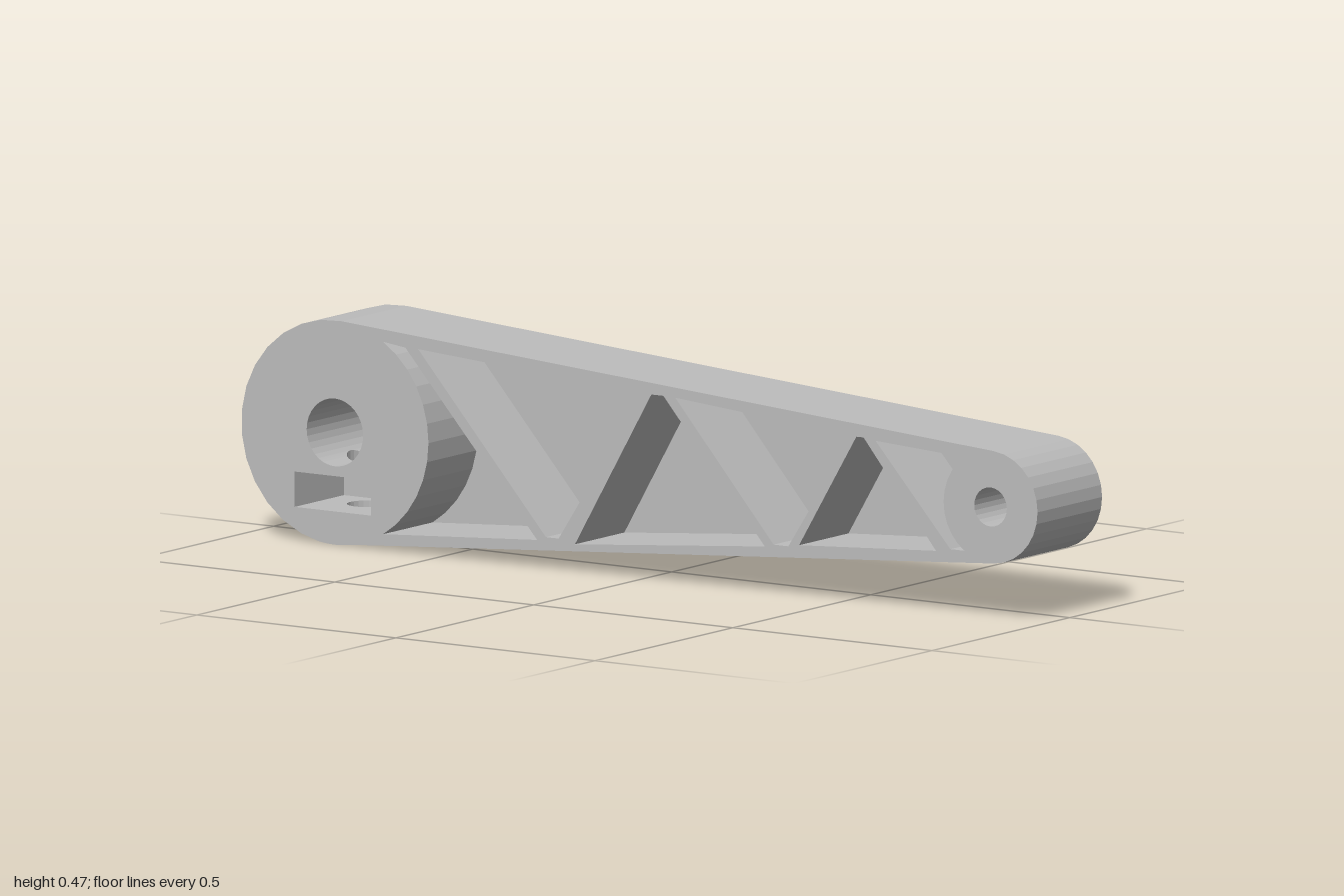
import * as THREE from 'three';

const HALF = 0.117;              // half thickness of the arm
const FLOOR = -0.062;            // depth of pockets and slot
const BIG = { x: -0.765, y: 0.2355, r: 0.235 };
const SMALL = { x: 0.882, y: 0.237, r: 0.118 };
const BORE = 0.071, PIN = 0.041, SCREW = 0.042;
const STEPS = 12;
const V = (x, y) => new THREE.Vector2(x, y);

// x offsets across the screw hole, and its half width in z at each offset
const offsets = Array.from({ length: STEPS + 1 }, (_, j) => -SCREW * Math.cos(j * Math.PI / STEPS));
const gap = (x, y) => (y < BIG.y ? Math.sqrt(Math.max(0, SCREW ** 2 - (x - BIG.x) ** 2)) : 0);
const bottomOf = (r, u) => BIG.y - Math.sqrt(r * r - u * u);

// Arc points; a drilled arc gets finer points where the screw hole crosses it
function arc(c, r, a0, a1, n, drilled = false) {
  let angles = Array.from({ length: n + 1 }, (_, i) => a0 + (a1 - a0) * i / n);
  if (drilled) {
    const mid = Math.PI * 1.5, half = Math.asin(SCREW / r);
    angles = angles.filter((a) => Math.abs(a - mid) > half + 0.01)
      .concat(offsets.map((u) => mid + Math.asin(u / r))).sort((a, b) => a - b);
  }
  return angles.map((a) => V(c.x + r * Math.cos(a), c.y + r * Math.sin(a)));
}

// Geometry from a list of quads, each with four corners [x, y, z]
function quads(list) {
  const geo = new THREE.BufferGeometry();
  const pos = list.flatMap(([a, b, c, d]) => [a, b, c, a, c, d].flat());
  geo.setAttribute('position', new THREE.Float32BufferAttribute(pos, 3));
  geo.computeVertexNormals();
  return geo;
}

// Wall along a closed outline, with the screw hole left open when drilled
function wall(points, z0, z1, drilled = false) {
  const list = [];
  points.forEach((p, i) => {
    const q = points[(i + 1) % points.length];
    const strip = (pa, qa, pb, qb) =>
      list.push([[p.x, p.y, pa], [q.x, q.y, qa], [q.x, q.y, qb], [p.x, p.y, pb]]);
    if (!drilled) return strip(z0, z0, z1, z1);
    const gp = gap(p.x, p.y), gq = gap(q.x, q.y);
    strip(z0, z0, -gp, -gq);
    strip(gp, gq, z1, z1);
  });
  return quads(list);
}

// Flat face with holes at a given z
function face(outline, holes, z, flip = false) {
  const shape = new THREE.Shape(outline);
  holes.forEach((h) => shape.holes.push(new THREE.Path(h)));
  const geo = new THREE.ShapeGeometry(shape).translate(0, 0, z);
  if (flip) {
    geo.index.array.reverse();
    geo.computeVertexNormals();
  }
  return geo;
}

// Inside of the screw hole between two height rules
function screwTube(low, high) {
  const list = [];
  for (const s of [1, -1]) {
    for (let j = 0; j < STEPS; j++) {
      const [u, v] = [offsets[j], offsets[j + 1]];
      const at = (w, f) => [BIG.x + w, f(w), s * gap(BIG.x + w, 0)];
      const quad = [at(u, low), at(v, low), at(v, high), at(u, high)];
      list.push(s > 0 ? quad.reverse() : quad);
    }
  }
  return quads(list);
}

export function createModel() {
  const model = new THREE.Group();
  model.name = 'leverArm';
  const grey = new THREE.MeshStandardMaterial({ color: 0xbcbcbc, flatShading: true });
  grey.name = 'grey';
  const add = (name, geo) => {
    const mesh = new THREE.Mesh(geo, grey);
    mesh.name = name;
    model.add(mesh);
  };
  const reversed = (pts) => [...pts].reverse();

  // Tapered outline: two round ends joined by tangents
  const t = Math.acos((BIG.r - SMALL.r) / (SMALL.x - BIG.x));
  const outline = [
    ...arc(BIG, BIG.r, t, 2 * Math.PI - t, 15, true),
    ...arc(SMALL, SMALL.r, -t, t, 14),
  ];
  const bore = arc(BIG, BORE, 0, 2 * Math.PI, 32, true).slice(0, -1);
  const pin = arc(SMALL, PIN, 0, 2 * Math.PI, 24).slice(0, -1);

  // Nut slot below the bore
  const slotLow = 0.07, slotHigh = 0.144;
  const slot = [
    V(-0.866, slotLow), ...offsets.map((u) => V(BIG.x + u, slotLow)), V(-0.674, slotLow),
    V(-0.674, slotHigh), ...reversed(offsets).map((u) => V(BIG.x + u, slotHigh)), V(-0.866, slotHigh),
  ];

  // Pockets between the diagonal ribs
  const pockets = [
    [V(-0.257, 0.059), V(-0.588, 0.43), ...arc(BIG, BIG.r, 1.03, -1.03, 12)],
    [V(-0.235, 0.067), V(-0.203, 0.067), V(0.008, 0.391), V(-0.556, 0.43)],
    [V(-0.162, 0.059), V(0.315, 0.1), V(0.06, 0.391), V(0.03, 0.391)],
    [V(0.337, 0.106), V(0.374, 0.106), V(0.535, 0.353), V(0.09, 0.39)],
    [V(0.401, 0.111), V(0.745, 0.132), V(0.563, 0.352), V(0.545, 0.352)],
    [V(0.781, 0.139), ...arc(SMALL, SMALL.r, Math.PI + 0.98, Math.PI - 0.98, 10), V(0.593, 0.348)],
  ];

  // Outer shell
  const throughHoles = [reversed(bore), reversed(pin)];
  add('outerWall', wall(outline, -HALF, HALF, true));
  add('backFace', face(outline, throughHoles, -HALF, true));
  add('frontFace', face(outline, [...throughHoles, ...[slot, ...pockets].map(reversed)], HALF));

  // Through holes
  add('shaftBore', wall(reversed(bore), -HALF, HALF, true));
  add('pinHole', wall(reversed(pin), -HALF, HALF));

  // Recesses
  add('nutSlotWall', wall(reversed(slot), FLOOR, HALF, true));
  add('nutSlotFloor', face(slot, [], FLOOR));
  pockets.forEach((p, i) => {
    add(`pocketWall${i + 1}`, wall(reversed(p), FLOOR, HALF));
    add(`pocketFloor${i + 1}`, face(p, [], FLOOR));
  });

  // Screw hole from the underside through the slot to the bore
  add('screwHoleLower', screwTube((u) => bottomOf(BIG.r, u), () => slotLow));
  add('screwHoleUpper', screwTube(() => slotHigh, (u) => bottomOf(BORE, u)));
  return model;
}
